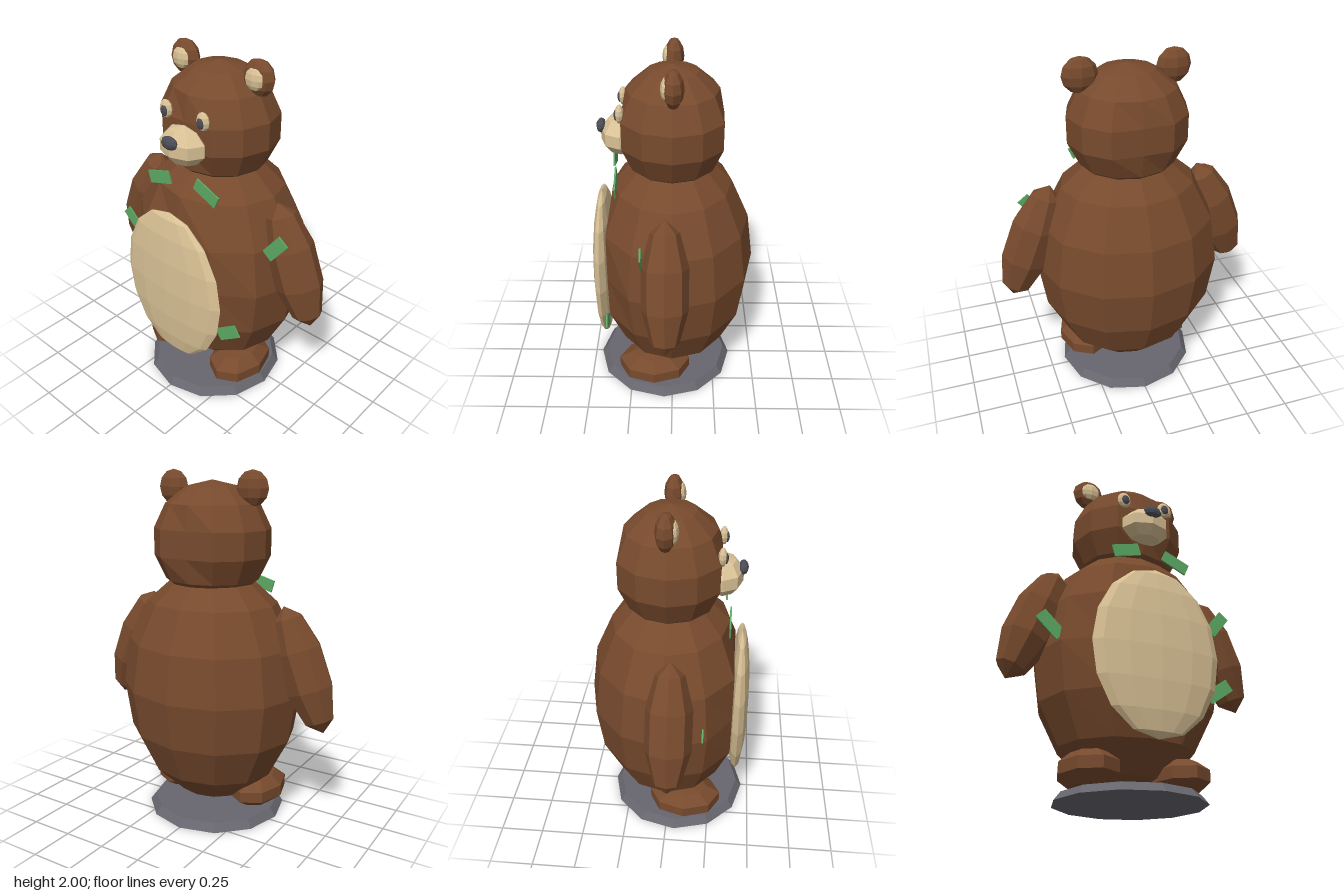
import * as THREE from 'three';

function material(name, color) {
  const m = new THREE.MeshStandardMaterial({ color, flatShading: true });
  m.name = name;
  return m;
}

export function createModel() {
  const fur = material('brown fur', 0x774a2d);
  const cream = material('cream', 0xd9c195);
  const dark = material('dark grey', 0x4c4c56);
  const stone = material('base grey', 0x67666e);
  const leaf = material('green', 0x5ca863);
  const bear = new THREE.Group();
  bear.name = 'bear';

  function add(name, geometry, mat, [x, y, z], roll = 0) {
    const mesh = new THREE.Mesh(geometry, mat);
    mesh.name = name;
    mesh.position.set(x, y, z);
    mesh.rotation.z = roll;
    bear.add(mesh);
    return mesh;
  }

  // Faceted ellipsoid, optionally flattened at the back and front
  function blob(rx, ry, rz, cols, rows, back = -Infinity, front = Infinity) {
    const g = new THREE.SphereGeometry(1, cols, rows).scale(rx, ry, rz);
    const p = g.attributes.position;
    for (let i = 0; i < p.count; i++) {
      p.setZ(i, Math.min(front, Math.max(back, p.getZ(i))));
    }
    return g;
  }

  // Base, torso and head
  add('base', new THREE.CylinderGeometry(0.375, 0.41, 0.045, 12), stone, [0, 0.0225, 0.05]);
  add('body', blob(0.54, 0.7, 0.467, 12, 8, -1, 0.367), fur, [0, 0.78, 0]);
  add('belly', blob(0.36, 0.475, 0.062, 12, 8, -0.037), cream, [0, 0.735, 0.402]);
  add('head', blob(0.343, 0.335, 0.315, 12, 7, -0.272, 0.272), fur, [0, 1.61, 0]);
  add('muzzle', blob(0.148, 0.107, 0.115, 8, 5), cream, [0, 1.56, 0.277]);
  add('nose', blob(0.055, 0.036, 0.027, 8, 6), dark, [0, 1.605, 0.383]);

  // Paired parts
  for (const [side, s] of [['left', 1], ['right', -1]]) {
    add(side + 'Ear', blob(0.098, 0.097, 0.055, 8, 6), fur, [s * 0.253, 1.903, -0.005]);
    add(side + 'InnerEar', blob(0.062, 0.06, 0.03, 8, 6), cream, [s * 0.252, 1.903, 0.03]);
    add(side + 'EyePatch', blob(0.042, 0.05, 0.024, 8, 6), cream, [s * 0.129, 1.722, 0.272]);
    add(side + 'Eye', blob(0.024, 0.03, 0.012, 8, 6), dark, [s * 0.127, 1.716, 0.29]);
    add(side + 'Arm', blob(0.145, 0.365, 0.132, 8, 5), fur, [s * 0.565, 0.94, 0.035], s * 0.365);
    add(side + 'Foot', blob(0.165, 0.102, 0.222, 8, 5), fur, [s * 0.255, 0.147, 0.108]);
  }

  // Small green strips: x, y, z, roll
  const strips = [
    [-0.14, 1.345, 0.329, 0.28],
    [0.175, 1.35, 0.305, -0.41],
    [0.523, 1.09, 0.16, 0.91],
    [-0.52, 0.865, 0.213, -0.75],
    [0.38, 0.575, 0.363, 0.62],
  ];
  strips.forEach(([x, y, z, roll], i) => {
    add('strip' + (i + 1), new THREE.BoxGeometry(0.162, 0.072, 0.009), leaf, [x, y, z], roll);
  });

  return bear;
}
